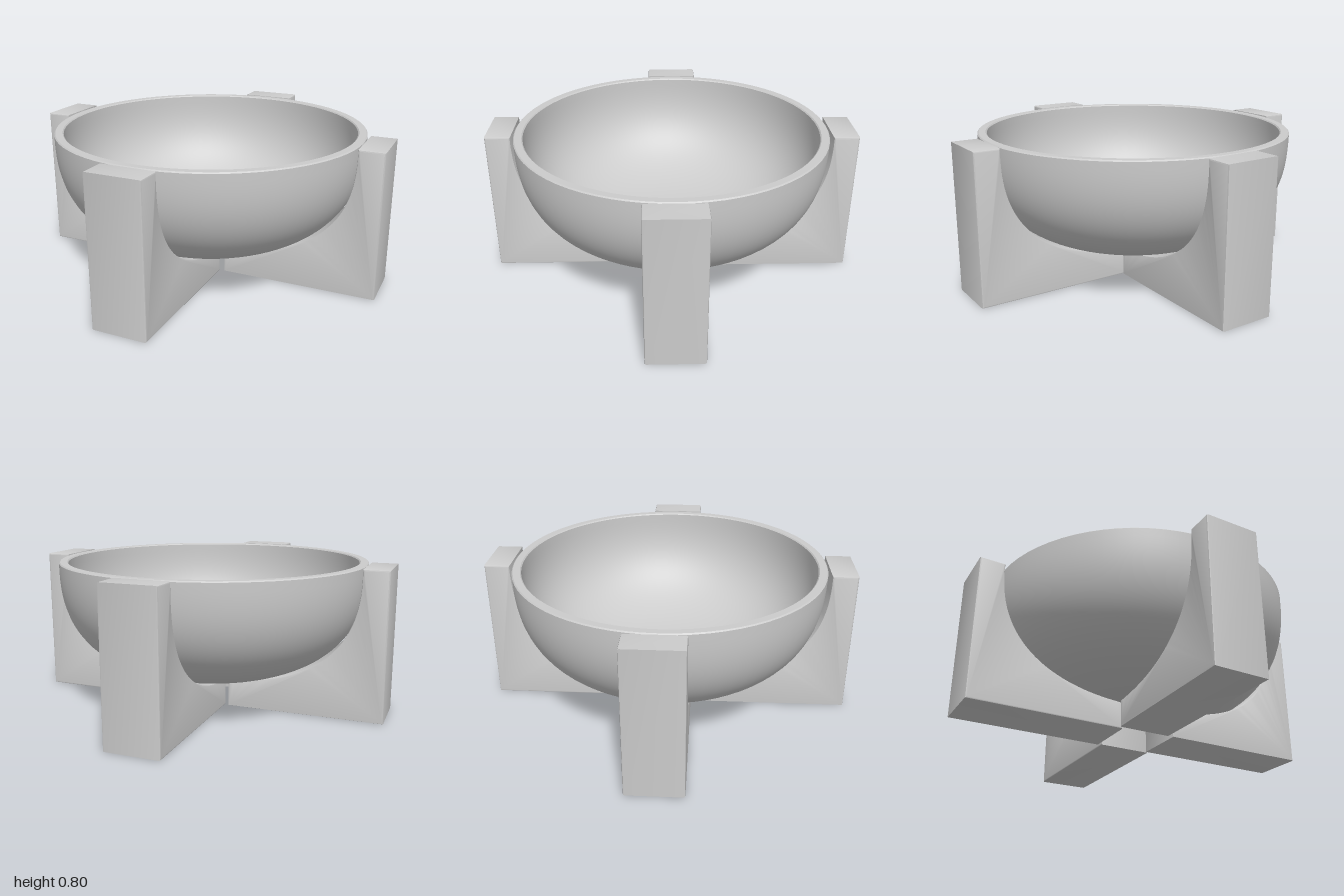
import * as THREE from 'three';
import { toCreasedNormals } from 'three/addons/utils/BufferGeometryUtils.js';

const TOP = 0.8;

// Superellipse quarter from the bottom centre up to the rim: [radius, height]
function bowlCurve(radius, depth, steps, power = 2.6) {
  const pts = [];
  for (let i = 0; i <= steps; i++) {
    const a = (i / steps) * Math.PI / 2;
    pts.push(new THREE.Vector2(
      radius * Math.pow(Math.max(0, Math.sin(a)), 2 / power),
      TOP - depth * Math.pow(Math.max(0, Math.cos(a)), 2 / power)));
  }
  pts[0].x = 0;
  pts[steps].y = TOP;
  return pts;
}

export function createModel() {
  const group = new THREE.Group();
  const material = new THREE.MeshStandardMaterial({ color: 0xcccccc });

  // Bowl: outer wall up, softened rim, inner wall back down
  const outer = bowlCurve(0.855, 0.65, 40);
  const inner = bowlCurve(0.805, 0.6, 40).reverse();
  outer[40].set(0.855, TOP - 0.006);
  inner[0].set(0.805, TOP - 0.006);
  const rim = [new THREE.Vector2(0.849, TOP), new THREE.Vector2(0.811, TOP)];
  const bowlGeometry = toCreasedNormals(
    new THREE.LatheGeometry([...outer, ...rim, ...inner], 72), 0.6);
  const bowl = new THREE.Mesh(bowlGeometry, material);
  bowl.name = 'bowl';
  group.add(bowl);

  // Stand board: side profile hollowed to cradle the bowl, with a fine bevel
  const INNER = 0.15, THICK = 0.3, BEVEL = 0.008;
  const cradle = bowlCurve(0.862, 0.652, 36).filter(p => p.x > INNER + 0.02).reverse();
  const shape = new THREE.Shape();
  shape.moveTo(INNER, 0);
  shape.lineTo(1, 0);
  shape.lineTo(1, TOP);
  cradle.forEach(p => shape.lineTo(p.x, p.y));
  shape.lineTo(INNER, TOP - 0.652);
  shape.closePath();
  const boardGeometry = toCreasedNormals(new THREE.ExtrudeGeometry(shape, {
    depth: THICK - 2 * BEVEL, bevelEnabled: true, bevelThickness: BEVEL,
    bevelSize: BEVEL, bevelOffset: -BEVEL, bevelSegments: 2,
  }).translate(0, 0, -THICK / 2 + BEVEL), 0.5);

  // Four boards around an open centre, each slightly offset to one side
  const names = ['leftBoard', 'backBoard', 'rightBoard', 'frontBoard'];
  const offsets = [0.003, 0.02, 0.02, 0.025];
  names.forEach((name, i) => {
    const arm = new THREE.Group();
    arm.name = name;
    const board = new THREE.Mesh(boardGeometry, material);
    board.name = name + 'Panel';
    board.position.z = offsets[i];
    arm.rotation.y = i * Math.PI / 2;
    arm.add(board);
    group.add(arm);
  });

  return group;
}
